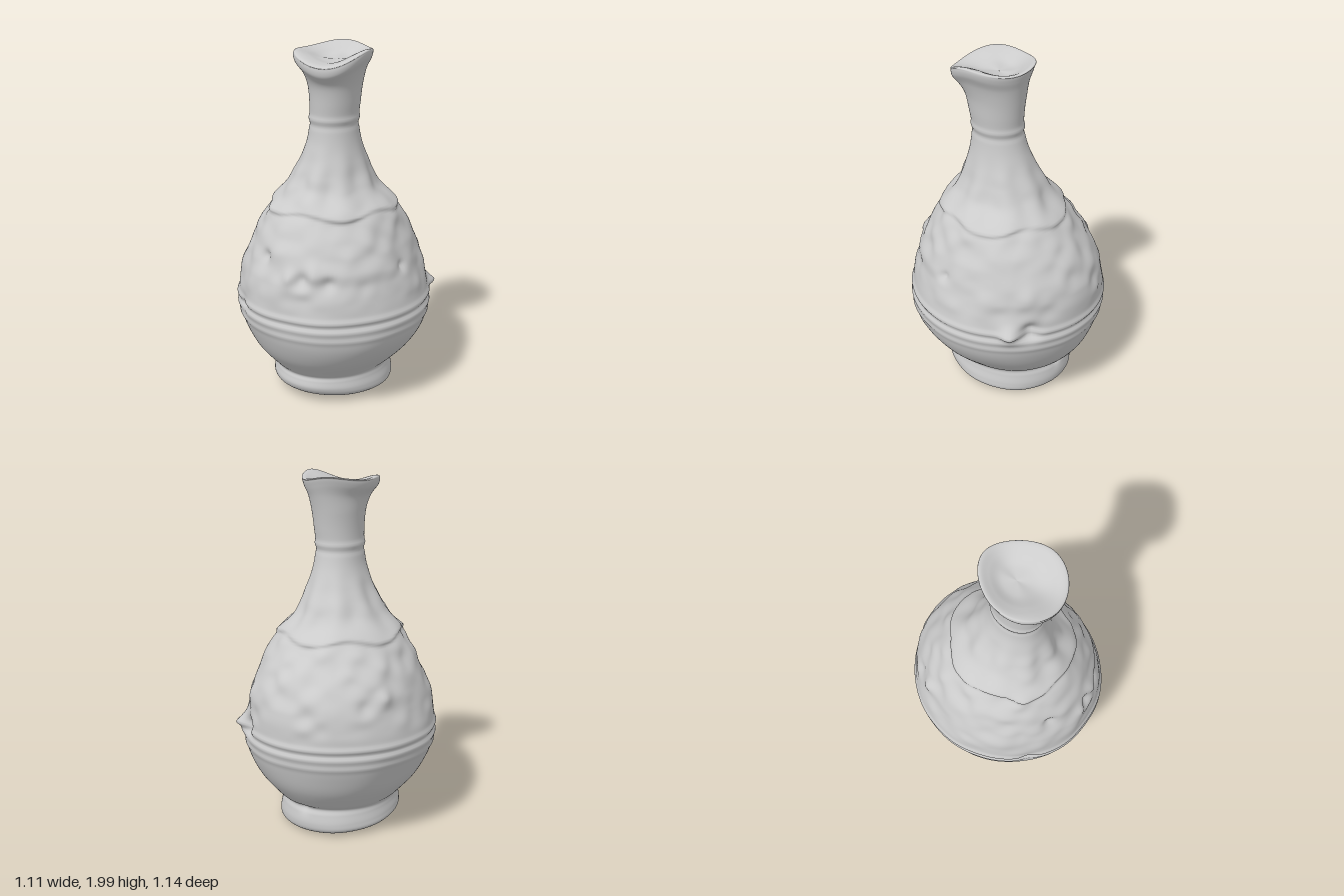
import * as THREE from 'three';

const SEG = 160; // points around
const SUB = 9; // rows between two profile keys

// Rings, from the middle of the underside up and over the lip into the mouth:
// [y, x min, x max, z min, z max]
const footKeys = [
  [0.10, -0.012, -0.010, -0.002, 0.002],
  [0.10, -0.12, 0.10, -0.13, 0.11],
  [0.09, -0.20, 0.18, -0.22, 0.20],
  [0.03, -0.26, 0.24, -0.28, 0.25],
  [0.015, -0.30, 0.28, -0.33, 0.30],
  [0.04, -0.345, 0.322, -0.375, 0.35],
  [0.08, -0.345, 0.325, -0.385, 0.37],
  [0.13, -0.335, 0.315, -0.375, 0.365],
  [0.165, -0.335, 0.315, -0.365, 0.36],
];
const bodyKeys = [
  [0.20, -0.365, 0.35, -0.41, 0.39],
  [0.30, -0.45, 0.445, -0.49, 0.48],
  [0.40, -0.505, 0.51, -0.535, 0.535],
  [0.50, -0.54, 0.54, -0.56, 0.562],
  [0.60, -0.545, 0.54, -0.562, 0.562],
  [0.70, -0.53, 0.52, -0.555, 0.55],
  [0.80, -0.50, 0.49, -0.535, 0.525],
  [0.90, -0.455, 0.45, -0.49, 0.49],
  [1.00, -0.405, 0.41, -0.425, 0.445],
  [1.10, -0.34, 0.355, -0.345, 0.375],
];
const neckKeys = [
  [1.20, -0.27, 0.27, -0.265, 0.315],
  [1.30, -0.205, 0.22, -0.205, 0.265],
  [1.40, -0.155, 0.182, -0.16, 0.228],
  [1.50, -0.12, 0.16, -0.125, 0.20],
  [1.60, -0.107, 0.153, -0.108, 0.19],
  [1.70, -0.105, 0.165, -0.115, 0.205],
  [1.80, -0.113, 0.18, -0.13, 0.228],
  [1.88, -0.13, 0.205, -0.148, 0.262],
  [1.94, -0.165, 0.238, -0.168, 0.288],
];
const mouthKeys = [
  [1.98, -0.172, 0.245, -0.178, 0.29],
  [1.985, -0.155, 0.225, -0.16, 0.27],
  [1.965, -0.11, 0.175, -0.12, 0.21],
  [1.935, -0.05, 0.11, -0.06, 0.13],
  [1.925, 0.029, 0.031, 0.029, 0.031],
];

// Dents and lumps: [x, y, z, size, depth]
const marks = [
  [0.06, 0.81, 0.52, 0.045, -0.035], [0.13, 0.84, 0.51, 0.04, 0.02],
  [-0.2, 0.89, 0.45, 0.035, -0.025], [0.21, 0.80, 0.48, 0.04, -0.03],
  [0.37, 0.77, 0.37, 0.05, -0.02], [0.0, 0.82, 0.53, 0.04, 0.025],
  [-0.36, 0.57, 0.42, 0.05, -0.02], [0.48, 0.83, 0.1, 0.025, -0.02],
  [0.36, 0.60, -0.42, 0.05, -0.05], [0.44, 0.59, -0.33, 0.045, 0.045],
  [0.33, 0.80, -0.38, 0.05, 0.018], [-0.36, 0.8, -0.36, 0.045, -0.025],
  [-0.4, 0.85, -0.25, 0.04, 0.025], [-0.22, 1.12, 0.28, 0.05, 0.02],
  [0.12, 0.88, 0.49, 0.04, 0.015], [0.02, 0.16, -0.37, 0.03, -0.012],
];

const bell = (d, w) => Math.exp(-(d * d) / (w * w));

// Smooth value noise on a hashed lattice
function hash(i, j, k) {
  const s = Math.sin(i * 127.1 + j * 311.7 + k * 74.7) * 43758.5453;
  return (s - Math.floor(s)) * 2 - 1;
}
function noise(x, y, z) {
  const [i, j, k] = [x, y, z].map(Math.floor);
  const [u, v, w] = [x - i, y - j, z - k].map((t) => t * t * (3 - 2 * t));
  let sum = 0;
  for (let c = 0; c < 8; c++) {
    const a = c & 1, b = (c >> 1) & 1, d = c >> 2;
    sum += hash(i + a, j + b, k + d) * (a ? u : 1 - u) * (b ? v : 1 - v) * (d ? w : 1 - w);
  }
  return sum;
}

// Outward relief on the wall at a point
function relief(x, y, z, angle) {
  const upper = THREE.MathUtils.smoothstep(y, 0.6, 0.75) * (1 - THREE.MathUtils.smoothstep(y, 1.2, 1.5));
  let r = noise(x * 5, y * 5, z * 5) * 0.006;
  r += noise(x * 11 + 7, y * 13, z * 11) * 0.013 * upper;
  // raised bands round the belly
  r += 0.010 * bell(y - 0.59, 0.016) + 0.008 * bell(y - 0.535, 0.018) + 0.006 * bell(y - 0.48, 0.016);
  r -= 0.006 * bell(y - 0.562, 0.012);
  // overlapping edge at the shoulder and leaf folds above it
  const edge = 1.115 + 0.015 * Math.sin(angle * 5);
  r += 0.02 * THREE.MathUtils.smoothstep(y, edge - 0.012, edge + 0.012) * (1 - THREE.MathUtils.smoothstep(y, edge, edge + 0.12));
  r += 0.008 * Math.sin(angle * 9 + 1) * bell(y - 1.25, 0.13);
  // ring on the neck
  r += 0.006 * bell(y - 1.61, 0.015) - 0.004 * bell(y - 1.575, 0.015);
  for (const [mx, my, mz, size, depth] of marks) {
    r += depth * bell(Math.hypot(x - mx, y - my, z - mz), size);
  }
  return r;
}

function spline(keys, t) {
  const i = Math.min(Math.floor(t), keys.length - 2), u = t - i;
  const at = (n) => keys[THREE.MathUtils.clamp(n, 0, keys.length - 1)];
  const [a, b, c, d] = [at(i - 1), at(i), at(i + 1), at(i + 2)];
  return b.map((p, n) => p + 0.5 * u * (c[n] - a[n] + u * (2 * a[n] - 5 * p + 4 * c[n] - d[n] + u * (3 * (p - c[n]) + d[n] - a[n]))));
}

export function createModel() {
  const sections = { foot: footKeys, body: bodyKeys, neck: neckKeys, mouth: mouthKeys };
  const keys = Object.values(sections).flat();
  const rows = (keys.length - 1) * SUB + 1;
  const positions = [];

  for (let row = 0; row < rows; row++) {
    const t = row / SUB;
    const [y0, x1, x2, z1, z2] = spline(keys, t);
    const lip = THREE.MathUtils.smoothstep(y0, 1.78, 1.94);
    const base = 1 - THREE.MathUtils.smoothstep(y0, 0.03, 0.2);
    const outside = t > 4 && t < footKeys.length + bodyKeys.length + neckKeys.length;
    for (let s = 0; s < SEG; s++) {
      const angle = (s / SEG) * Math.PI * 2;
      const c = Math.cos(angle), n = Math.sin(angle);
      // the lip is egg-shaped, wider at the front
      let x = (x1 + x2) / 2 + ((x2 - x1) / 2) * c * (1 + 0.12 * n * lip);
      let z = (z1 + z2) / 2 + ((z2 - z1) / 2) * n;
      let y = y0;
      if (outside) {
        const r = relief(x, y, z, angle);
        x += c * r;
        z += n * r;
      }
      // the lip droops to the front and the foot lifts there
      y += lip * (-1.0 * Math.max(z - 0.05, 0) ** 2 + 0.012 * Math.sin(angle * 3 + 1) * Math.min(1, Math.hypot(x - 0.03, z - 0.03) * 5));
      y += base * (0.055 * z - 0.025 * x + 0.008);
      positions.push(x, Math.max(y, 0), z);
    }
  }

  // One continuous surface, so that normals flow across the parts
  const strip = (from, to) => {
    const index = [];
    for (let row = from; row < to; row++) {
      for (let s = 0; s < SEG; s++) {
        const a = row * SEG + s, b = row * SEG + ((s + 1) % SEG);
        index.push(a, a + SEG, b, b, a + SEG, b + SEG);
      }
    }
    return index;
  };
  const whole = new THREE.BufferGeometry();
  whole.setAttribute('position', new THREE.Float32BufferAttribute(positions, 3));
  whole.setIndex(strip(0, rows - 1));
  whole.computeVertexNormals();

  const group = new THREE.Group();
  group.name = 'vase';
  const material = new THREE.MeshStandardMaterial({ color: 0xcccccc });
  let start = 0;
  for (const [name, part] of Object.entries(sections)) {
    const end = Math.min(start + part.length * SUB, rows - 1);
    const geometry = new THREE.BufferGeometry();
    geometry.setAttribute('position', whole.getAttribute('position'));
    geometry.setAttribute('normal', whole.getAttribute('normal'));
    geometry.setIndex(strip(start, end));
    const mesh = new THREE.Mesh(geometry, material);
    mesh.name = name;
    group.add(mesh);
    start = end;
  }
  return group;
}
